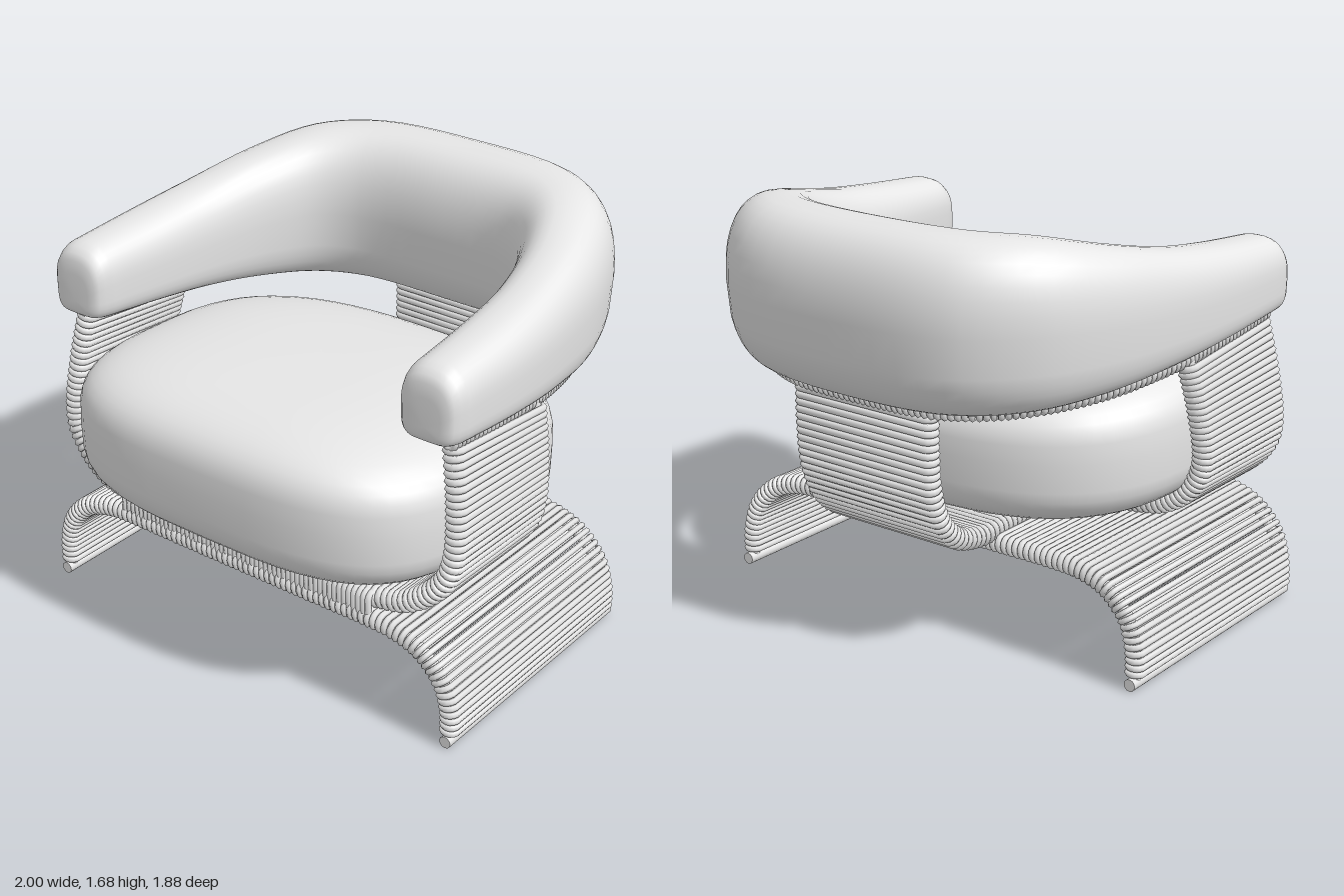
import * as THREE from 'three';
import { mergeGeometries } from 'three/addons/utils/BufferGeometryUtils.js';

const V = (x, y, z) => new THREE.Vector3(x, y, z);
const spow = (a, e) => Math.sign(a) * Math.pow(Math.abs(a), e);
const smooth = points => new THREE.CatmullRomCurve3(points, false, 'centripetal');

// Smooth path through points given from the +x end to the middle, mirrored to -x
function mirroredCurve(points) {
  const right = points.map(p => V(...p));
  const left = right.filter(p => p.x > 0).reverse().map(p => V(-p.x, p.y, p.z));
  return smooth([...right, ...left]);
}

// Skin over closed rings of equal length
function loft(rings) {
  const n = rings[0].length, index = [];
  for (let i = 0; i < rings.length - 1; i++) {
    for (let j = 0; j < n; j++) {
      const a = i * n + j, b = i * n + (j + 1) % n;
      index.push(a, b, a + n, b, b + n, a + n);
    }
  }
  const geometry = new THREE.BufferGeometry().setFromPoints(rings.flat());
  geometry.setIndex(index);
  geometry.computeVertexNormals();
  return geometry;
}

// Cord loops along a path, each stretched by +-half in the given direction;
// tilt slopes the first loops, fading out along the path
function cordLoops(path, direction, half, { spacing, radius = 0.031, cord = 0.0125, margin = 0, tilt = 0 }) {
  const length = path.getLength();
  const count = Math.round((length - 2 * margin) / spacing);
  const loop = new THREE.TorusGeometry(radius, cord, 6, 14);
  const pos = loop.attributes.position;
  const stride = 15;
  for (let i = 0; i < pos.count; i++) {
    const side = Math.cos((i % stride) / 14 * Math.PI * 2);
    pos.setX(i, pos.getX(i) + Math.sign(side) * half);
  }
  const parts = [];
  for (let k = 0; k <= count; k++) {
    const u = (margin + (length - 2 * margin) * k / count) / length;
    const x = direction.clone().add(V(0, tilt * (1 - u) ** 3, 0)).normalize();
    const y = path.getTangentAt(u).cross(x).normalize();
    const z = x.clone().cross(y);
    const m = new THREE.Matrix4().makeBasis(x, y, z).setPosition(path.getPointAt(u));
    parts.push(loop.clone().applyMatrix4(m));
  }
  return mergeGeometries(parts);
}

export function createModel() {
  const group = new THREE.Group();
  const grey = new THREE.MeshStandardMaterial({ color: 0xe6e6e6 });
  grey.name = 'light grey';

  const add = (name, geometry) => {
    const mesh = new THREE.Mesh(geometry, grey);
    mesh.name = name;
    group.add(mesh);
    return mesh;
  };

  // A pair of rails joined by wrapped cord
  function cordPanel(name, path, direction, half, options) {
    add(name + 'Cord', cordLoops(path, direction, half, options));
    for (const s of [-1, 1]) {
      const rail = add(name + 'Rail', new THREE.TubeGeometry(path, 80, 0.022, 8));
      rail.position.copy(direction).multiplyScalar(s * half);
    }
  }
  const alongX = V(1, 0, 0), alongY = V(0, 1, 0), alongZ = V(0, 0, 1);

  // Arched base with its two floor bars
  const basePath = mirroredCurve([
    [0.955, 0.025, 0.148], [0.952, 0.15, 0.148], [0.915, 0.265, 0.151], [0.82, 0.36, 0.154],
    [0.7, 0.402, 0.156], [0.6, 0.41, 0.157], [0.3, 0.41, 0.157], [0, 0.41, 0.157]]);
  cordPanel('base', basePath, alongZ, 0.516, { spacing: 0.026, cord: 0.012, margin: 0.038 });
  for (const s of [-1, 1]) {
    const bar = add('floorBar', new THREE.CylinderGeometry(0.024, 0.024, 1.11, 12));
    bar.rotation.x = Math.PI / 2;
    bar.position.set(s * 0.955, 0.024, 0.145);
  }

  // Side panels curving in to meet the base
  for (const s of [-1, 1]) {
    const armPath = smooth([
      V(s * 0.872, 1.125, 0.313), V(s * 0.905, 0.95, 0.335), V(s * 0.92, 0.76, 0.36), V(s * 0.9, 0.67, 0.372),
      V(s * 0.84, 0.59, 0.382), V(s * 0.73, 0.515, 0.39), V(s * 0.58, 0.485, 0.395)]);
    cordPanel('arm', armPath, alongZ, 0.25, { spacing: 0.026, radius: 0.033, cord: 0.0135, tilt: 0.1 });
  }

  // Tall wrapping along the front edge of the seat
  const frontEdge = new THREE.LineCurve3(V(-0.6, 0.447, 0.664), V(0.6, 0.447, 0.664));
  add('frontEdgeCord', cordLoops(frontEdge, alongY, 0.037, { spacing: 0.022 }));

  // Rear panel curling forward under the seat
  const rearPath = smooth([
    V(0, 1.03, -0.735), V(0, 0.85, -0.735), V(0, 0.71, -0.722), V(0, 0.58, -0.672), V(0, 0.49, -0.58),
    V(0, 0.454, -0.45), V(0, 0.455, -0.35), V(0, 0.46, -0.1), V(0, 0.465, 0.1)]);
  cordPanel('rearPanel', rearPath, alongX, 0.29, { spacing: 0.028, cord: 0.0135 });

  // Wrapped rail under the backrest
  const topRail = mirroredCurve([
    [0.87, 1.188, 0.59], [0.87, 1.157, 0.3], [0.85, 1.126, 0], [0.75, 1.083, -0.36],
    [0.58, 1.056, -0.61], [0.36, 1.041, -0.74], [0, 1.036, -0.765]]);
  add('topRailCord', cordLoops(topRail, alongY, 0, { spacing: 0.025, radius: 0.022 }));
  add('topRail', new THREE.TubeGeometry(topRail, 80, 0.02, 8));

  // Backrest and arms: y holds the top height on the outer curve, the bottom height on the inner
  const outer = mirroredCurve([
    [0.95, 1.488, 0.59], [0.955, 1.513, 0.3], [0.935, 1.548, 0], [0.868, 1.61, -0.38],
    [0.73, 1.665, -0.685], [0.475, 1.68, -0.885], [0, 1.681, -0.94]]);
  const inner = mirroredCurve([
    [0.69, 1.193, 0.59], [0.665, 1.165, 0.3], [0.635, 1.13, 0.03], [0.575, 1.09, -0.2],
    [0.475, 1.06, -0.37], [0.328, 1.04, -0.455], [0, 1.03, -0.477]]);
  // Section at parameter t; the tips shrink towards their lower half and are pushed forward
  function backSection(t, scale, push) {
    const o = outer.getPoint(t), i = inner.getPoint(t);
    const cx = (o.x + i.x) / 2, cz = (o.z + i.z) / 2 + push, cy = (o.y + i.y) / 2;
    const lean = 0.3 * Math.sin(Math.PI * t) ** 2;
    const ring = [];
    for (let j = 0; j < 36; j++) {
      const a = j / 36 * Math.PI * 2;
      const e = Math.sin(a) > 0 ? 2 / 4.5 : 2 / 2.45;
      const v = -spow(Math.sin(a), e);
      let u = spow(Math.cos(a), e) * scale;
      if (v < 0) u *= 1 - lean * v * v;
      const h = -0.5 + (v + 0.5) * scale;
      ring.push(V(cx + u * (o.x - i.x) / 2, cy + h * (o.y - i.y) / 2, cz + u * (o.z - i.z) / 2));
    }
    return ring;
  }
  const tip = [[0, 0.086], [0.5, 0.086], [0.74, 0.08], [0.86, 0.066], [0.94, 0.042], [0.985, 0.016]];
  const rings = tip.map(([s, p]) => backSection(0, s, p));
  for (let k = 0; k <= 60; k++) rings.push(backSection(k / 60, 1, 0));
  rings.push(...tip.slice().reverse().map(([s, p]) => backSection(1, s, p)));
  add('backrest', loft(rings));

  // Plump seat cushion, tipped back, rounder in plan and sloping down at the rear
  const cushion = [];
  for (let i = 0; i <= 28; i++) {
    const p = (i / 28 - 0.5) * Math.PI;
    const e = p < 0 ? 2 / 4.2 : 2 / 3.4;
    const r = i % 28 ? spow(Math.cos(p), e) : 0;
    const v = spow(Math.sin(p), e);
    const ring = [];
    for (let j = 0; j < 56; j++) {
      const a = j / 56 * Math.PI * 2;
      const plan = Math.sin(a) > 0 ? 2 / 2.6 : 2 / 3.3;
      const x = 0.87 * r * spow(Math.cos(a), plan);
      const z = -0.735 * r * spow(Math.sin(a), plan);
      const drop = 0.09 * Math.max(0, v) * Math.min(0, z) ** 2;
      ring.push(V(x, 0.811 + 0.302 * v + 0.04 * z - drop, z + 0.205));
    }
    cushion.push(ring);
  }
  add('seatCushion', loft(cushion));

  return group;
}
